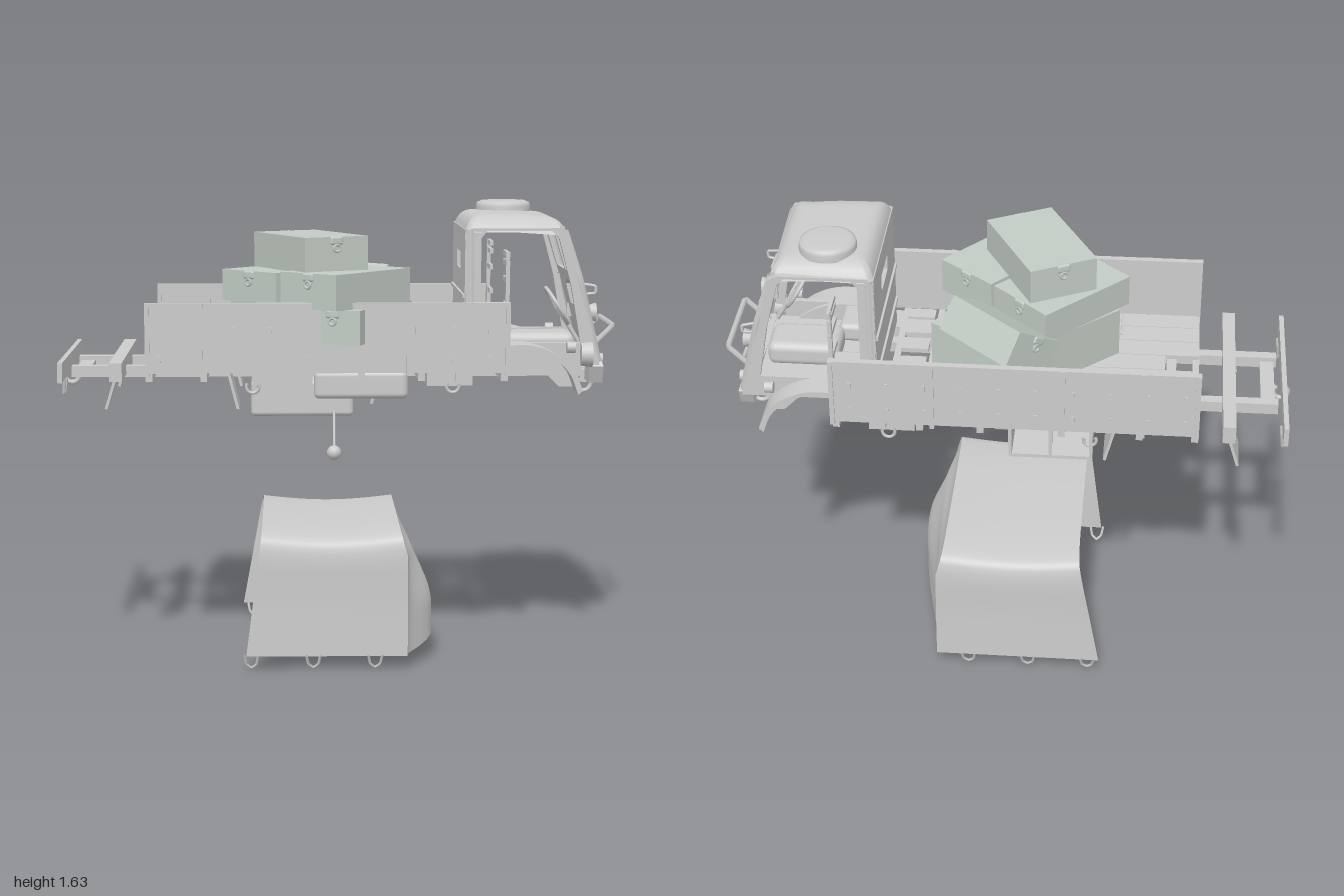
import * as THREE from 'three';
import { RoundedBoxGeometry } from 'three/addons/geometries/RoundedBoxGeometry.js';
import { ParametricGeometry } from 'three/addons/geometries/ParametricGeometry.js';

const grey = new THREE.MeshStandardMaterial({ color: 0xcccccc, side: THREE.DoubleSide });
const crateMat = new THREE.MeshStandardMaterial({ color: 0xc3ccc5 });
const V = (x, y, z) => new THREE.Vector3(x, y, z);
const smooth = (v) => THREE.MathUtils.smoothstep(v, 0, 1);

function add(parent, name, geo, pos = [0, 0, 0], rot = [0, 0, 0], mat = grey) {
  const m = new THREE.Mesh(geo, mat);
  m.name = name;
  m.position.set(...pos);
  m.rotation.set(...rot);
  parent.add(m);
  return m;
}
// box given by its two extreme corners
function block(parent, name, x0, x1, y0, y1, z0, z1, rot) {
  return add(parent, name, new THREE.BoxGeometry(x1 - x0, y1 - y0, z1 - z0),
    [(x0 + x1) / 2, (y0 + y1) / 2, (z0 + z1) / 2], rot);
}
function tube(parent, name, pts, r) {
  const c = new THREE.CatmullRomCurve3(pts.map((p) => V(...p)), false, 'catmullrom', 0.2);
  return add(parent, name, new THREE.TubeGeometry(c, pts.length * 8, r, 6));
}
const poly = (pts) => new THREE.Shape(pts.map((p) => new THREE.Vector2(...p)));
function plate(pts, holes, depth) {
  const s = poly(pts);
  s.holes = holes.map(poly);
  return new THREE.ExtrudeGeometry(s, { depth, bevelEnabled: false });
}
// plate drawn in (z, y), leaned along x by a rule of y
function crossPlate(pts, holes, depth, xOf) {
  const flip = (list) => list.map(([z, y]) => [-z, y]);
  const g = plate(flip(pts), holes.map(flip), depth).rotateY(Math.PI / 2);
  const p = g.attributes.position;
  for (let i = 0; i < p.count; i++) p.setX(i, p.getX(i) + xOf(p.getY(i)));
  g.computeVertexNormals();
  return g;
}
const rect = (a, b, c, d) => [[a, c], [b, c], [b, d], [a, d]];

function buildCab(truck) {
  const cab = new THREE.Group();
  cab.name = 'cab';
  truck.add(cab);
  // roof: domed shell, slightly narrower and lower towards the front
  const roof = new ParametricGeometry((u, v, out) => {
    const a = 2 * Math.PI * u, r = Math.sin(v * Math.PI / 2);
    const sq = (w) => Math.sign(w) * Math.abs(w) ** 0.3;
    const k = 1 / Math.max(Math.abs(sq(Math.cos(a))), Math.abs(sq(Math.sin(a))), 0.93);
    const x = 0.182 * k * sq(Math.cos(a)) * r, z = 0.272 * k * sq(Math.sin(a)) * r;
    out.set(x, 0.062 * (1 - r ** 9) - 0.012 * smooth(x / 0.18), z * (1 - 0.15 * (x + 0.18)));
  }, 64, 20);
  add(cab, 'roof', roof, [0.63, 1.54, 0]);
  add(cab, 'roofHatch', new THREE.LatheGeometry([[0, 0.045], [0.08, 0.045], [0.096, 0.038], [0.1, 0.025], [0.1, 0]]
    .map((p) => new THREE.Vector2(...p)), 32), [0.62, 1.59, -0.13]);
  const side = [[0.45, 1.07], [0.45, 1.53], [0.47, 1.555], [0.78, 1.555], [0.81, 1.54], [0.855, 1.37], [0.93, 1.07]];
  const door = [[0.505, 1.15], [0.505, 1.52], [0.525, 1.545], [0.755, 1.545], [0.78, 1.52], [0.825, 1.35], [0.86, 1.15]];
  for (const s of [-1, 1]) {
    add(cab, 'cabSide', plate(side, [door], 0.022), [0, 0, s * 0.258 - 0.011]);
    add(cab, 'rearPillar', new THREE.CylinderGeometry(0.02, 0.02, 0.38, 12), [0.468, 1.36, s * 0.253]);
    tube(cab, 'frontPillar', [[0.8, 1.545, s * 0.24], [0.855, 1.37, s * 0.257], [0.925, 1.08, s * 0.245]], 0.016);
    tube(cab, 'grabRail', [[0.84, 1.36, s * 0.25], [0.91, 1.35, s * 0.26], [0.91, 1.325, s * 0.26], [0.86, 1.32, s * 0.25]], 0.006);
    // headlight on a stalk
    add(cab, 'headlight', new THREE.CylinderGeometry(0.034, 0.022, 0.04, 20), [0.905, 1.25, s * 0.18], [0, 0, -Math.PI / 2]);
    block(cab, 'lampStalk', 0.87, 0.9, 1.2, 1.25, s * 0.18 - 0.006, s * 0.18 + 0.006);
    add(cab, 'seat', new RoundedBoxGeometry(0.15, 0.07, 0.16, 3, 0.02), [0.56, 1.12, s * 0.16]);
    add(cab, 'seatBack', new RoundedBoxGeometry(0.04, 0.17, 0.16, 3, 0.015), [0.485, 1.22, s * 0.16]);
  }
  add(cab, 'rearWall', crossPlate(rect(-0.265, 0.265, 1.07, 1.55), [rect(-0.08, 0.08, 1.4, 1.46)], 0.015, () => 0.448));
  for (const y of [1.17, 1.31]) block(cab, 'rearRib', 0.44, 0.45, y, y + 0.012, -0.26, 0.26);
  add(cab, 'windscreenFrame', crossPlate(rect(-0.25, 0.25, 1.36, 1.56),
    [rect(-0.225, -0.012, 1.39, 1.545), rect(0.012, 0.225, 1.39, 1.545)], 0.015, (y) => 0.785 + (1.56 - y) * 0.3));
  add(cab, 'frontPanel', crossPlate([[-0.225, 1.07], [0.225, 1.07], [0.25, 1.37], [-0.25, 1.37]],
    [[[-0.1, 1.26], [0.1, 1.26], [0.1, 1.33], [0.07, 1.35], [-0.07, 1.35], [-0.1, 1.33]]], 0.02,
    (y) => 0.845 + (1.37 - y) * 0.25));
  for (const z of [-0.14, 0.1]) tube(cab, 'wiper', [[0.872, 1.37, z], [0.862, 1.39, z + 0.07]], 0.004);
  // interior
  block(cab, 'cabFloor', 0.46, 0.92, 1.07, 1.085, -0.25, 0.25);
  add(cab, 'engineCover', new RoundedBoxGeometry(0.26, 0.09, 0.17, 3, 0.03), [0.74, 1.12, 0]);
  add(cab, 'steeringWheel', new THREE.TorusGeometry(0.075, 0.007, 8, 28), [0.79, 1.27, 0.14], [0, Math.PI / 2, 0.55, 'ZYX']);
  tube(cab, 'steeringColumn', [[0.79, 1.27, 0.14], [0.87, 1.14, 0.14]], 0.009);
  block(cab, 'steeringSpoke', 0.785, 0.795, 1.2, 1.34, 0.134, 0.146, [0, 0, 0.55]);
}

function buildNose(truck) {
  const nose = new THREE.Group();
  nose.name = 'nose';
  truck.add(nose);
  const outer = [[0.52, 1.1], [0.58, 1.145], [0.68, 1.15], [0.77, 1.115], [0.83, 1.06], [0.86, 0.99]];
  const arch = new THREE.CatmullRomCurve3(outer.map((p) => V(...p, 0))).getPoints(20);
  const inner = arch.map((p) => [p.x + (0.67 - p.x) * 0.09, p.y - 0.014]).reverse();
  for (const s of [-1, 1]) {
    add(nose, 'fender', plate([...arch.map((p) => [p.x, p.y]), ...inner], [], 0.13), [0, 0, s * 0.295 - 0.065]);
    add(nose, 'fenderInner', plate([...arch.map((p) => [p.x, p.y]), [0.79, 0.99], [0.72, 1.06], [0.6, 1.06]], [], 0.01), [0, 0, s * 0.232]);
    add(nose, 'markerLamp', new THREE.CylinderGeometry(0.02, 0.02, 0.03, 14), [0.82, 1.14, s * 0.32], [0, 0, -Math.PI / 2]);
    add(nose, 'towHook', new THREE.TorusGeometry(0.03, 0.008, 8, 16, 4.5), [0.89, 0.99, s * 0.13], [0, 0, 2]);
  }
  add(nose, 'roundLamp', new THREE.CylinderGeometry(0.045, 0.04, 0.04, 24), [0.88, 1.11, 0.282], [0, 0, -Math.PI / 2]);
  // bumper with two round lamps in it
  add(nose, 'bumper', crossPlate([[-0.21, 1.0], [0.21, 1.0], [0.235, 1.06], [0.2, 1.12], [-0.2, 1.12], [-0.235, 1.06]],
    [rect(-0.11, 0.11, 1.005, 1.045)], 0.05, (y) => 0.88 + Math.min(0.02, (1.12 - y) * 0.4)));
  for (const z of [-0.16, 0.16]) add(nose, 'bumperLamp', new THREE.CylinderGeometry(0.02, 0.02, 0.02, 14), [0.945, 1.08, z], [0, 0, Math.PI / 2]);
  // winch tucked under the bumper
  add(nose, 'winchDrum', new THREE.CylinderGeometry(0.024, 0.024, 0.2, 16), [0.9, 1.01, 0], [Math.PI / 2, 0, 0]);
  for (let i = 0; i < 5; i++) add(nose, 'winchCable', new THREE.TorusGeometry(0.026, 0.006, 6, 18), [0.9, 1.01, -0.06 + i * 0.03]);
  // tilted guard bar
  tube(nose, 'guardBar', [[0.89, 1.1, -0.165], [0.985, 1.195, -0.165], [0.99, 1.2, -0.15], [0.99, 1.2, 0.15],
    [0.985, 1.195, 0.165], [0.89, 1.1, 0.165]], 0.011);
  tube(nose, 'guardCross', [[0.94, 1.15, -0.165], [0.94, 1.15, 0.165]], 0.007);
}

function buildBed(truck) {
  const bed = new THREE.Group();
  bed.name = 'cargoBed';
  truck.add(bed);
  for (let i = 0; i < 8; i++) { // floor planks, one cut short at the tail
    const z = -0.34 + i * 0.0971;
    block(bed, 'floorPlank', i === 4 ? -0.55 : -0.67, 0.27, 1.06, 1.075, z - 0.047, z + 0.047);
  }
  for (let i = 0; i < 7; i++) block(bed, 'ladderRung', 0.31, 0.41, 1.055, 1.07, -0.36 + i * 0.11, -0.3 + i * 0.11);
  for (const x of [-0.66, -0.47, -0.2, 0.08, 0.29, 0.42, 0.58]) block(bed, 'crossMember', x - 0.012, x + 0.012, 1.03, 1.06, -0.385, 0.385);
  for (const s of [-1, 1]) {
    block(bed, 'sideBoard', -0.67, 0.595, 1.06, 1.3, s * 0.387 - 0.008, s * 0.387 + 0.008);
    for (const x of [-0.665, -0.48, -0.205, 0.245, 0.59]) block(bed, 'boardPost', x - 0.008, x + 0.008, 1.05, 1.305, s * 0.388 - 0.014, s * 0.388 + 0.014);
    block(bed, 'boardRim', -0.67, 0.595, 1.29, 1.305, s * 0.387 - 0.012, s * 0.387 + 0.012);
    block(bed, 'boardCorner', 0.583, 0.597, 1.12, 1.3, s * 0.36 - 0.03, s * 0.36 + 0.03);
    for (let i = 0; i < 10; i++) for (const y of [1.11, 1.21])
      block(bed, 'boltPlate', -0.63 + i * 0.128, -0.618 + i * 0.128, y - 0.012, y + 0.012, s * 0.396 - 0.004, s * 0.396 + 0.004);
    // slatted rack behind the cab
    block(bed, 'rackPost', 0.583, 0.597, 1.26, 1.475, s * 0.355 - 0.008, s * 0.355 + 0.008);
    for (const y of [1.28, 1.37, 1.43, 1.46]) block(bed, 'rackSlat', 0.585, 0.597, y, y + 0.018, s * 0.305 - 0.065, s * 0.305 + 0.065);
  }
}

function buildChassis(truck) {
  const ch = new THREE.Group();
  ch.name = 'chassis';
  truck.add(ch);
  for (const s of [-1, 1]) {
    block(ch, 'frameRail', -0.95, 0.88, 1.02, 1.06, s * 0.152 - 0.02, s * 0.152 + 0.02);
    for (const [x, a] of [[-0.79, -0.3], [-0.37, 0.25]]) // mud flaps
      block(ch, 'mudFlap', x - 0.005, x + 0.005, 0.93, 1.08, s * 0.3 - 0.075, s * 0.3 + 0.075, [0, 0, a]);
    for (const x of [-0.3, 0.4]) add(ch, 'ropeHook', new THREE.TorusGeometry(0.022, 0.006, 6, 14, 4), [x, 1.01, s * 0.37], [0, 0, 2.6]);
    block(ch, 'frontStep', 0.31, 0.47, 1.01, 1.06, s * 0.3 - 0.06, s * 0.3 + 0.06);
    tube(ch, 'rearLampLoop', [[-0.96, 1.03, s * 0.32], [-0.965, 0.98, s * 0.31], [-0.965, 0.98, s * 0.27], [-0.96, 1.03, s * 0.26]], 0.006);
  }
  add(ch, 'lowerLocker', new RoundedBoxGeometry(0.33, 0.1, 0.12, 3, 0.02), [0.08, 1.013, 0.3]);
  block(ch, 'sideBox', -0.3, -0.09, 1.0, 1.06, 0.24, 0.36);
  // open carrier on the far side
  block(ch, 'carrierFloor', -0.31, -0.02, 0.935, 0.947, -0.38, -0.22);
  block(ch, 'carrierBack', -0.31, -0.02, 0.935, 1.06, -0.23, -0.22);
  for (const x of [-0.31, -0.17, -0.03]) for (const z of [-0.38, -0.23]) block(ch, 'carrierPost', x, x + 0.012, 0.94, 1.06, z, z + 0.012);
  for (const x of [-0.31, -0.03]) block(ch, 'carrierEnd', x, x + 0.01, 0.94, 1.06, -0.37, -0.23);
  block(ch, 'rearBeam', -0.8, -0.755, 1.03, 1.095, -0.38, 0.38);
  block(ch, 'rearBar', -0.98, -0.963, 1.025, 1.095, -0.375, 0.375);
  for (const [a, b] of [[-0.94, -0.89], [-0.59, -0.555], [-0.1, -0.05], [0.2, 0.24], [0.55, 0.6]]) block(ch, 'frameCross', a, b, 1.02, 1.045, -0.14, 0.14);
  add(ch, 'towHook', new THREE.TorusGeometry(0.026, 0.009, 8, 16, 4.6), [-0.965, 1.005, 0], [0, 0, 2.6]);
  add(ch, 'driveShaft', new THREE.CylinderGeometry(0.018, 0.018, 1.1, 12), [0.1, 1.03, 0], [0, 0, Math.PI / 2]);
  // under-slung tank and gearbox
  add(ch, 'tank', new RoundedBoxGeometry(0.37, 0.13, 0.27, 3, 0.015), [-0.125, 0.935, 0]);
  add(ch, 'gearbox', new RoundedBoxGeometry(0.16, 0.1, 0.14, 3, 0.03), [0.09, 0.97, 0]);
  tube(ch, 'lever', [[0.16, 1.0, 0.03], [0.13, 0.9, 0.03]], 0.008);
  // hanging cable with a ball
  tube(ch, 'cable', [[-0.01, 0.9, 0.12], [-0.012, 0.77, 0.25]], 0.005);
  add(ch, 'cableBall', new THREE.SphereGeometry(0.026, 16, 12), [-0.013, 0.757, 0.258]);
}

function buildCrates(root) {
  // x, y, z, length, height, width, yaw, tilt
  const list = [
    [-0.095, 1.465, 0.08, 0.4, 0.125, 0.25, -1.1, 0],
    [-0.175, 1.345, 0.01, 0.4, 0.11, 0.27, 0.8, 0],
    [0.03, 1.345, 0.195, 0.42, 0.125, 0.25, 0.865, 0],
    [0.03, 1.29, -0.19, 0.34, 0.13, 0.22, -0.75, 0.55],
    [0.04, 1.222, 0.22, 0.34, 0.12, 0.2, 1.2, 0],
    [-0.14, 1.2, -0.02, 0.4, 0.18, 0.28, 0.75, 0],
    [-0.02, 1.12, 0.06, 0.42, 0.11, 0.3, -0.7, 0],
    [0.1, 1.17, -0.08, 0.3, 0.2, 0.2, -0.5, 0],
  ];
  for (const [x, y, z, l, h, w, yaw, tilt] of list) {
    const g = new THREE.Group();
    g.name = 'crate';
    g.position.set(x, y, z);
    g.rotation.set(tilt, yaw, 0, 'YXZ');
    add(g, 'crateBody', new THREE.BoxGeometry(l, h, w), [0, 0, 0], [0, 0, 0], crateMat);
    for (const s of [-1, 1]) {
      add(g, 'crateLatch', new RoundedBoxGeometry(0.02, 0.03, 0.05, 2, 0.008), [s * (l / 2 - 0.004), h / 2 - 0.014, 0], [0, 0, 0], crateMat);
      add(g, 'crateHandle', new THREE.TorusGeometry(0.012, 0.005, 6, 16), [s * (l / 2 + 0.003), h / 2 - 0.04, 0], [0, Math.PI / 2, 0], crateMat);
    }
    root.add(g);
  }
}

function buildTarp(root) {
  const tarp = new THREE.Group();
  tarp.name = 'tarpaulin';
  root.add(tarp);
  const half = [[-0.408, 0.05], [-0.405, 0.24], [-0.404, 0.435], [-0.388, 0.475], [-0.34, 0.492]];
  const hoop = new THREE.CatmullRomCurve3([...half.map(([z, y]) => V(0, y, z)), V(0, 0.505, 0),
    ...half.map(([z, y]) => V(0, y, -z)).reverse()]);
  // front edge, with a fold bulging out low down near one corner and fading to the other
  const frontX = (y, z) => {
    const t = (0.5 - y) / 0.45;
    const across = smooth((0.405 - z) / 0.18) * smooth((z + 0.45) / 0.65);
    return 0.22 + 0.025 * Math.min(1, t * 5) + 0.095 * smooth(t * 1.5) * across;
  };
  const cover = new ParametricGeometry((u, v, out) => {
    const p = hoop.getPoint(u), t = (0.5 - p.y) / 0.45;
    const x = THREE.MathUtils.lerp(-0.27 - (0.07 - 0.03 * p.z) * t, frontX(p.y, p.z), v);
    const sag = -0.018 * Math.sin(Math.PI * v) * smooth((p.y - 0.3) / 0.15);
    out.set(x, p.y + sag, p.z);
  }, 60, 24);
  const wall = new ParametricGeometry((u, v, out) => {
    const p = hoop.getPoint(0.2 + 0.6 * u);
    const low = 0.05 + 0.045 * Math.exp(-(((p.z - 0.2) / 0.1) ** 2));
    const y = THREE.MathUtils.lerp(p.y, low, v);
    out.set(frontX(y, p.z), y, p.z);
  }, 48, 24);
  for (const [name, g] of [['tarpCover', cover], ['tarpFront', wall]]) {
    g.computeVertexNormals();
    add(tarp, name, g, [0, 0, -0.03]);
  }
  for (const s of [-1, 1]) for (const x of [-0.31, -0.09, 0.13])
    tube(tarp, 'tieLoop', [[x - 0.025, 0.055, s * 0.408 - 0.03], [x - 0.018, 0.02, s * 0.397 - 0.03], [x, 0.005, s * 0.39 - 0.03],
      [x + 0.018, 0.02, s * 0.397 - 0.03], [x + 0.025, 0.055, s * 0.408 - 0.03]], 0.005);
}

export function createModel() {
  const root = new THREE.Group();
  const truck = new THREE.Group();
  truck.name = 'truck';
  truck.position.z = -0.032;
  root.add(truck);
  buildCab(truck);
  buildNose(truck);
  buildBed(truck);
  buildChassis(truck);
  buildCrates(root);
  buildTarp(root);
  return root;
}
